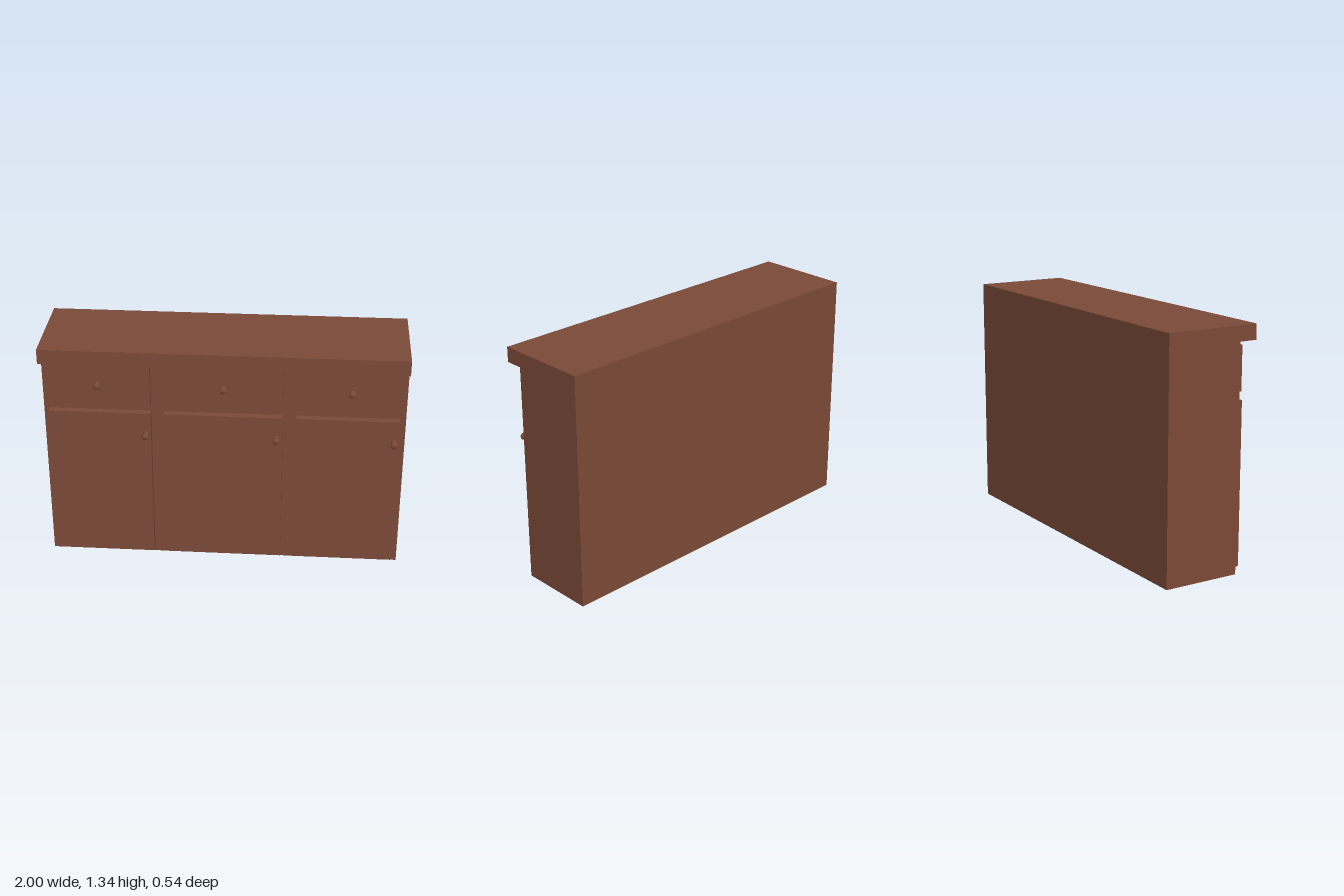
import * as THREE from 'three';

const BACK = -0.27, FRONT = 0.17, LIP = 0.27; // depth of back, face frame and counter edge
const TOP = 1.335, COUNTER = 1.25;            // counter top and underside

const wood = new THREE.MeshStandardMaterial({ color: 0x7c4a38, side: THREE.DoubleSide });
wood.name = 'reddish brown wood';

// Columns of the front: panel edges and knob positions
const columns = [
  { x0: -0.968, x1: -0.402, drawerKnob: -0.69, doorKnob: -0.43 },
  { x0: -0.331, x1: 0.328, drawerKnob: 0, doorKnob: 0.293 },
  { x0: 0.397, x1: 0.966, drawerKnob: 0.70, doorKnob: 0.94 },
];
// Rows of the front: panel heights, front depth and knob shape
const rows = [
  { name: 'drawer', y0: 0.982, y1: 1.226, z: 0.207, knobY: 1.106, knobLength: 0.038 },
  { name: 'door', y0: 0.028, y1: 0.935, z: 0.212, knobY: 0.81, knobLength: 0.048 },
];

function add(parent, name, geometry, x = 0, y = 0, z = 0) {
  const mesh = new THREE.Mesh(geometry, wood);
  mesh.name = name;
  mesh.position.set(x, y, z);
  parent.add(mesh);
  return mesh;
}

function trace(path, points) {
  points.forEach(([x, y], i) => (i ? path.lineTo(x, y) : path.moveTo(x, y)));
  path.closePath();
  return path;
}

const rectangle = (x0, x1, y0, y1) => [[x0, y0], [x1, y0], [x1, y1], [x0, y1]];

// Raised panel, hollow and open towards the cabinet
function addPanel(parent, name, x0, x1, y0, y1, z) {
  const w = x1 - x0, h = y1 - y0, d = z - FRONT;
  const box = new THREE.BoxGeometry(w, h, d);
  // drop the last side of the box, which faces back
  box.setIndex(Array.from(box.index.array).slice(0, 30));
  box.clearGroups();
  add(parent, name, box, (x0 + x1) / 2, (y0 + y1) / 2, FRONT + d / 2);
}

// Turned knob with flared foot, narrow neck and domed head
function knobGeometry(length) {
  const profile = [
    [0.014, 0], [0.013, 0.12], [0.008, 0.28], [0.008, 0.48],
    [0.018, 0.68], [0.02, 0.78], [0.017, 0.9], [0.009, 0.98], [0, 1],
  ].map(([r, t]) => new THREE.Vector2(r, t * length));
  return new THREE.LatheGeometry(profile, 16).rotateX(Math.PI / 2);
}

export function createModel() {
  const model = new THREE.Group();
  model.name = 'sideboard';

  // Cabinet shell, open underneath
  const cabinet = new THREE.Group();
  cabinet.name = 'cabinet';
  model.add(cabinet);
  const sideShape = trace(new THREE.Shape(), [
    [BACK, 0], [FRONT, 0], [FRONT, COUNTER], [LIP, COUNTER], [LIP, TOP], [BACK, TOP],
  ]);
  for (const [name, x, flip] of [['leftSide', 1, 1], ['rightSide', -1, -1]]) {
    const side = new THREE.ShapeGeometry(sideShape);
    side.scale(-flip, 1, 1).rotateY(flip * Math.PI / 2);
    if (flip > 0) {
      // mirrored outline needs its corners reversed to face outwards
      side.setIndex(Array.from(side.index.array).reverse());
      side.computeVertexNormals();
    }
    add(cabinet, name, side, x);
  }
  add(cabinet, 'back', new THREE.PlaneGeometry(2, TOP).rotateY(Math.PI), 0, TOP / 2, BACK);

  // Face frame with an opening behind every panel
  const frame = trace(new THREE.Shape(), rectangle(-1, 1, 0, COUNTER));
  for (const c of columns) {
    for (const r of rows) {
      frame.holes.push(trace(new THREE.Path(), rectangle(c.x0, c.x1, r.y0, r.y1)));
    }
  }
  add(cabinet, 'faceFrame', new THREE.ShapeGeometry(frame), 0, 0, FRONT);

  // Overhanging counter
  add(cabinet, 'counterTop', new THREE.PlaneGeometry(2, LIP - BACK).rotateX(-Math.PI / 2), 0, TOP, (LIP + BACK) / 2);
  add(cabinet, 'counterEdge', new THREE.PlaneGeometry(2, TOP - COUNTER), 0, (TOP + COUNTER) / 2, LIP);
  add(cabinet, 'counterUnderside', new THREE.PlaneGeometry(2, LIP - FRONT).rotateX(Math.PI / 2), 0, COUNTER, (LIP + FRONT) / 2);

  // Drawers and doors with their knobs
  for (const r of rows) {
    const knob = knobGeometry(r.knobLength);
    for (const c of columns) {
      const unit = new THREE.Group();
      unit.name = r.name;
      addPanel(unit, r.name + 'Front', c.x0, c.x1, r.y0, r.y1, r.z);
      add(unit, r.name + 'Knob', knob, c[r.name + 'Knob'], r.knobY, r.z);
      model.add(unit);
    }
  }
  return model;
}
